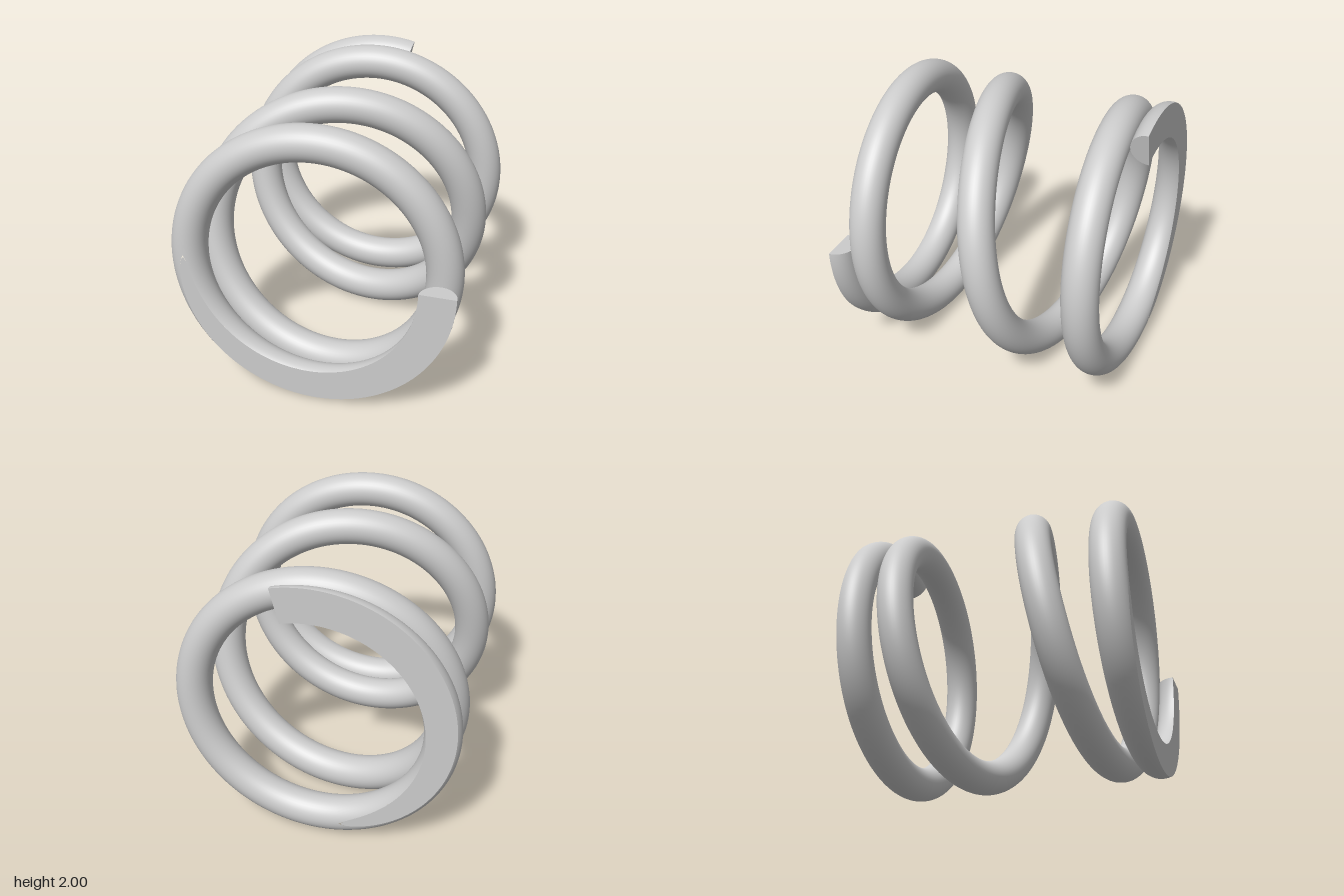
import * as THREE from 'three';

const R = 0.875;            // mean coil radius
const WIRE = 0.125;         // wire radius
const HALF = 3.7886 / 2;    // turns in half the spring
const DEAD = 0.25;          // pitch of the closed end coils
const RAMP = 0.5;           // turns over which the pitch opens, after one closed turn
const EXTRA = (1 - DEAD * HALF) / (HALF - 1 - RAMP / 2);

// Wire centre, frame and half angle of the ground-off cap at turn t (z runs from 1 to 0)
function section(t) {
  const u = Math.max(0, t - 1);
  const open = u < RAMP ? (u * u) / (2 * RAMP) : u - RAMP / 2;
  const z = 1 - DEAD * t - EXTRA * open;
  const k = (DEAD + EXTRA * Math.min(1, u / RAMP)) / (2 * Math.PI * R);
  const angle = -2 * Math.PI * t;
  const radial = new THREE.Vector3(Math.cos(angle), Math.sin(angle), 0);
  const binormal = new THREE.Vector3(k * Math.sin(angle), -k * Math.cos(angle), 1).normalize();
  const rz = WIRE * Math.hypot(1, k);
  const cut = Math.acos(Math.min(1, (1 - z) / rz));
  return { z, radial, binormal, rz, cut };
}

// Grid surface: point(section, v) returns [position, normal]
function sweep(turns, rows, cols, point) {
  const pos = [], nor = [], idx = [];
  for (let i = 0; i <= rows; i++) {
    const s = section((turns * i) / rows);
    for (let j = 0; j <= cols; j++) {
      const [p, n] = point(s, j / cols);
      pos.push(p.x, p.y, p.z);
      nor.push(n.x, n.y, n.z);
      if (i < rows && j < cols) {
        const a = i * (cols + 1) + j, c = a + cols + 1;
        idx.push(a, a + 1, c, a + 1, c + 1, c);
      }
    }
  }
  const g = new THREE.BufferGeometry();
  g.setAttribute('position', new THREE.Float32BufferAttribute(pos, 3));
  g.setAttribute('normal', new THREE.Float32BufferAttribute(nor, 3));
  g.setIndex(idx);
  return g;
}

export function createModel() {
  const material = new THREE.MeshStandardMaterial({ color: 0xcccccc });

  // Round wire, left open where its end is ground flat
  const wire = sweep(HALF, 320, 40, (s, v) => {
    const phi = Math.PI / 2 + s.cut + v * 2 * (Math.PI - s.cut);
    const c = Math.cos(phi), n = Math.sin(phi);
    const p = s.radial.clone().multiplyScalar(R + WIRE * c);
    p.z = s.z + s.rz * n;
    return [p, s.radial.clone().multiplyScalar(c).addScaledVector(s.binormal, n)];
  });

  // Flat ground face, tapering out after half a turn
  const ground = sweep(0.5, 90, 1, (s, v) => {
    const p = s.radial.clone().multiplyScalar(R + WIRE * Math.sin(s.cut) * (1 - 2 * v));
    p.z = 1;
    return [p, new THREE.Vector3(0, 0, 1)];
  });

  // Half-round cut end of the wire
  const cutEnd = new THREE.CircleGeometry(WIRE, 20, 0, Math.PI);
  cutEnd.rotateX(-Math.PI / 2).translate(R, 0, 1);

  const makeHalf = (name) => {
    const half = new THREE.Group();
    half.name = name;
    for (const [part, geometry] of Object.entries({ coilWire: wire, groundFace: ground, cutEnd })) {
      const mesh = new THREE.Mesh(geometry, material);
      mesh.name = part;
      half.add(mesh);
    }
    half.position.y = 1;
    return half;
  };

  // The back half is the front half turned over about the axis through the middle of the wire
  const front = makeHalf('frontHalf');
  const back = makeHalf('backHalf');
  back.setRotationFromAxisAngle(section(HALF).radial, Math.PI);

  const spring = new THREE.Group();
  spring.name = 'coilSpring';
  spring.add(front, back);
  return spring;
}
